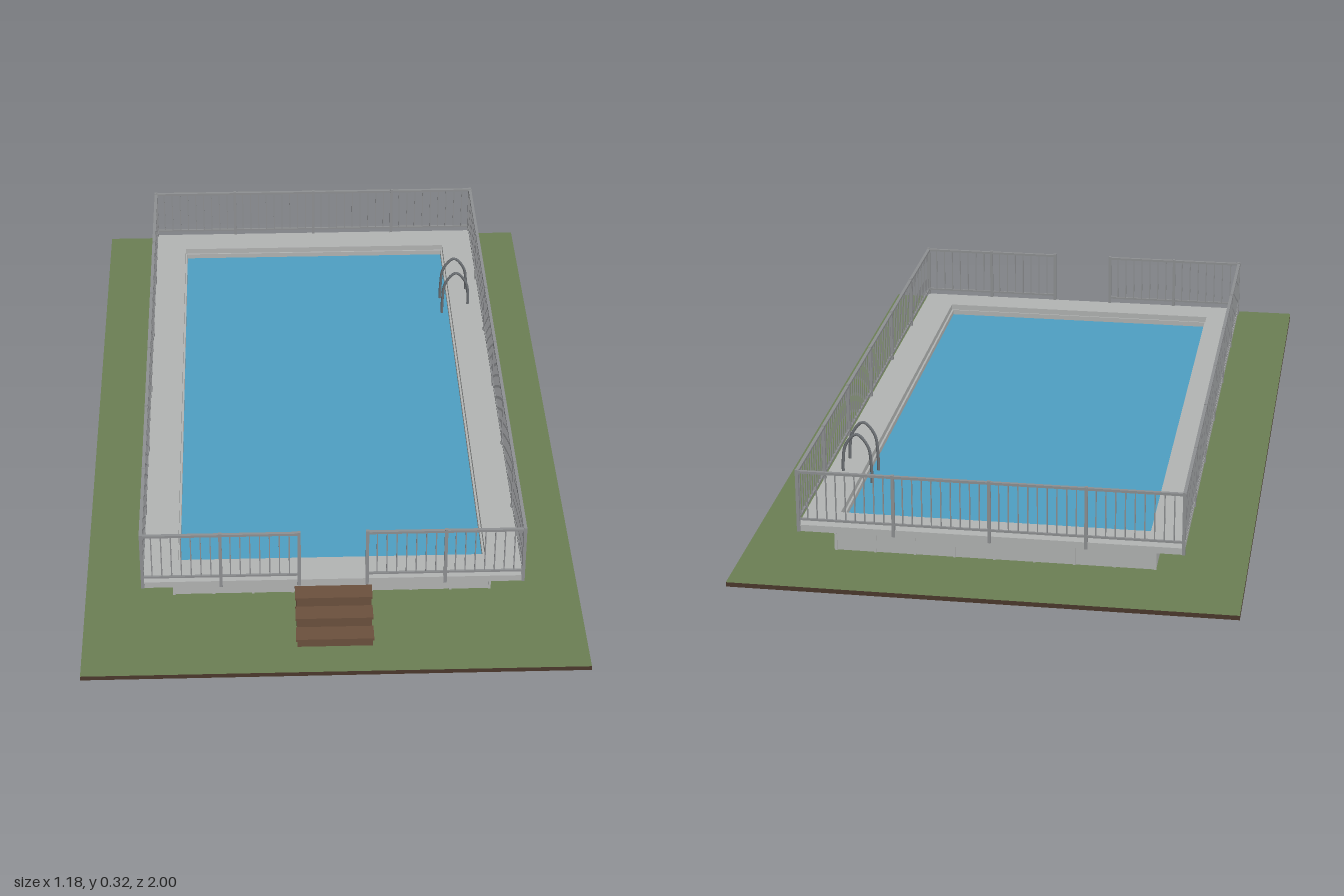
import * as THREE from 'three';
import { mergeGeometries } from 'three/addons/utils/BufferGeometryUtils.js';

const mat = (name, color) => new THREE.MeshStandardMaterial({ name, color });

// Box geometry given by its minimum and maximum corners
function span(x0, x1, y0, y1, z0, z1) {
  return new THREE.BoxGeometry(x1 - x0, y1 - y0, z1 - z0)
    .translate((x0 + x1) / 2, (y0 + y1) / 2, (z0 + z1) / 2);
}

// Rectangular frame with a rectangular hole, lying flat between y0 and y1
function ring(outer, inner, y0, y1) {
  const corners = ([x, z0, z1]) => [[-x, -z1], [x, -z1], [x, -z0], [-x, -z0]].map(p => new THREE.Vector2(...p));
  const shape = new THREE.Shape(corners(outer));
  shape.holes.push(new THREE.Path(corners(inner).reverse()));
  return new THREE.ExtrudeGeometry(shape, { depth: y1 - y0, bevelEnabled: false })
    .rotateX(-Math.PI / 2).translate(0, y0, 0);
}

export function createModel() {
  const model = new THREE.Group();
  model.name = 'raisedPool';
  const grass = mat('grass green', 0x6b7f54);
  const soil = mat('soil brown', 0x4b392c);
  const concrete = mat('deck grey', 0xb2b4b3);
  const water = mat('water blue', 0x4e9fc2);
  const basin = mat('basin blue', 0x2f6fa9);
  const metal = mat('railing grey', 0x8e9092);
  const ladderMetal = mat('ladder grey', 0x6c7074);
  const wood = mat('step brown', 0x6b503d);
  const add = (name, geometry, material) => {
    const mesh = new THREE.Mesh(geometry, material);
    mesh.name = name;
    model.add(mesh);
    return mesh;
  };

  // Ground slab: grass on top, soil on the other faces
  add('ground', span(-0.59, 0.59, 0.081, 0.092, -1, 1), [soil, soil, grass, soil, soil, soil]);

  // Sunken basin, water, pool wall and walkway
  add('basin', span(-0.362, 0.362, 0, 0.083, -0.772, 0.682), basin);
  add('water', span(-0.363, 0.363, 0.09, 0.155, -0.774, 0.682), water);
  add('poolWall', ring([0.38, -0.79, 0.7], [0.362, -0.773, 0.681], 0.09, 0.168), concrete);
  add('walkway', ring([0.45, -0.86, 0.77], [0.367, -0.777, 0.685], 0.167, 0.183), concrete);

  // Vertical ribs on the end walls
  const ribs = [];
  for (let i = -4; i <= 4; i++) {
    const x = i * 0.0945;
    ribs.push(span(x - 0.003, x + 0.003, 0.09, 0.167, 0.699, 0.703));
    ribs.push(span(x - 0.003, x + 0.003, 0.09, 0.167, -0.793, -0.789));
  }
  add('wallRibs', mergeGeometries(ribs), concrete);

  // Diagonal struts carrying the walkway overhang
  const struts = [];
  const strut = (x, z, dx, dz) => {
    const geo = new THREE.BoxGeometry(0.006, 0.006, 0.054);
    geo.rotateX(-Math.atan2(0.031, 0.043));
    geo.rotateY(Math.atan2(dx, dz));
    struts.push(geo.translate(x + dx * 0.02, 0.152, z + dz * 0.02));
  };
  for (let i = -2; i <= 2; i++) {
    strut(i * 0.177, 0.7, 0, 1);
    strut(i * 0.177, -0.79, 0, -1);
  }
  for (let i = 0; i < 9; i++) {
    const z = -0.76 + i * 0.18;
    strut(0.38, z, 1, 0);
    strut(-0.38, z, -1, 0);
  }
  add('struts', mergeGeometries(struts), metal);

  // Railing run between two points with posts, balusters and two rails
  function railing(name, x0, z0, x1, z1, sections, perSection) {
    const parts = [];
    const length = Math.hypot(x1 - x0, z1 - z0);
    const alongX = Math.abs(x1 - x0) > Math.abs(z1 - z0);
    const cx = (x0 + x1) / 2, cz = (z0 + z1) / 2;
    const rail = (y, h, w) => parts.push(
      new THREE.BoxGeometry(alongX ? length : w, h, alongX ? w : length).translate(cx, y, cz));
    rail(0.317, 0.006, 0.008);
    rail(0.198, 0.005, 0.005);
    const count = sections * perSection;
    for (let i = 0; i <= count; i++) {
      const t = i / count, x = x0 + (x1 - x0) * t, z = z0 + (z1 - z0) * t;
      const post = i % perSection === 0;
      const r = post ? 0.0038 : 0.0014;
      parts.push(span(x - r, x + r, post ? 0.167 : 0.197, post ? 0.322 : 0.317, z - r, z + r));
    }
    add(name, mergeGeometries(parts), metal);
  }
  const rx = 0.449, zf = 0.769, zb = -0.859;
  railing('leftRailing', rx, zb, rx, zf, 6, 12);
  railing('rightRailing', -rx, zb, -rx, zf, 6, 12);
  railing('backRailing', -rx, zb, rx, zb, 4, 10);
  railing('frontLeftRailing', 0.08, zf, rx, zf, 2, 8);
  railing('frontRightRailing', -rx, zf, -0.08, zf, 2, 8);

  // Entrance steps with slightly proud treads
  const steps = [];
  for (let i = 0; i < 3; i++) {
    const top = 0.165 - i * 0.025, z0 = 0.772 + i * 0.046;
    steps.push(span(-0.088, 0.088, 0.09, top - 0.005, z0, z0 + 0.044));
    steps.push(span(-0.091, 0.091, top - 0.006, top, z0, z0 + 0.047));
  }
  add('steps', mergeGeometries(steps), wood);

  // Pool ladder: two arched handrails joined by submerged rungs
  const path = new THREE.CatmullRomCurve3([
    [0.345, 0.1], [0.345, 0.2], [0.352, 0.25], [0.38, 0.281], [0.408, 0.25], [0.415, 0.2], [0.415, 0.18],
  ].map(([x, y]) => new THREE.Vector3(x, y, 0)));
  for (const z of [-0.535, -0.457]) {
    add('ladderHandrail', new THREE.TubeGeometry(path, 32, 0.0038, 8), ladderMetal).position.z = z;
  }
  for (const y of [0.11, 0.14]) {
    add('ladderRung', span(0.341, 0.349, y - 0.003, y + 0.003, -0.535, -0.457), ladderMetal);
  }
  return model;
}
